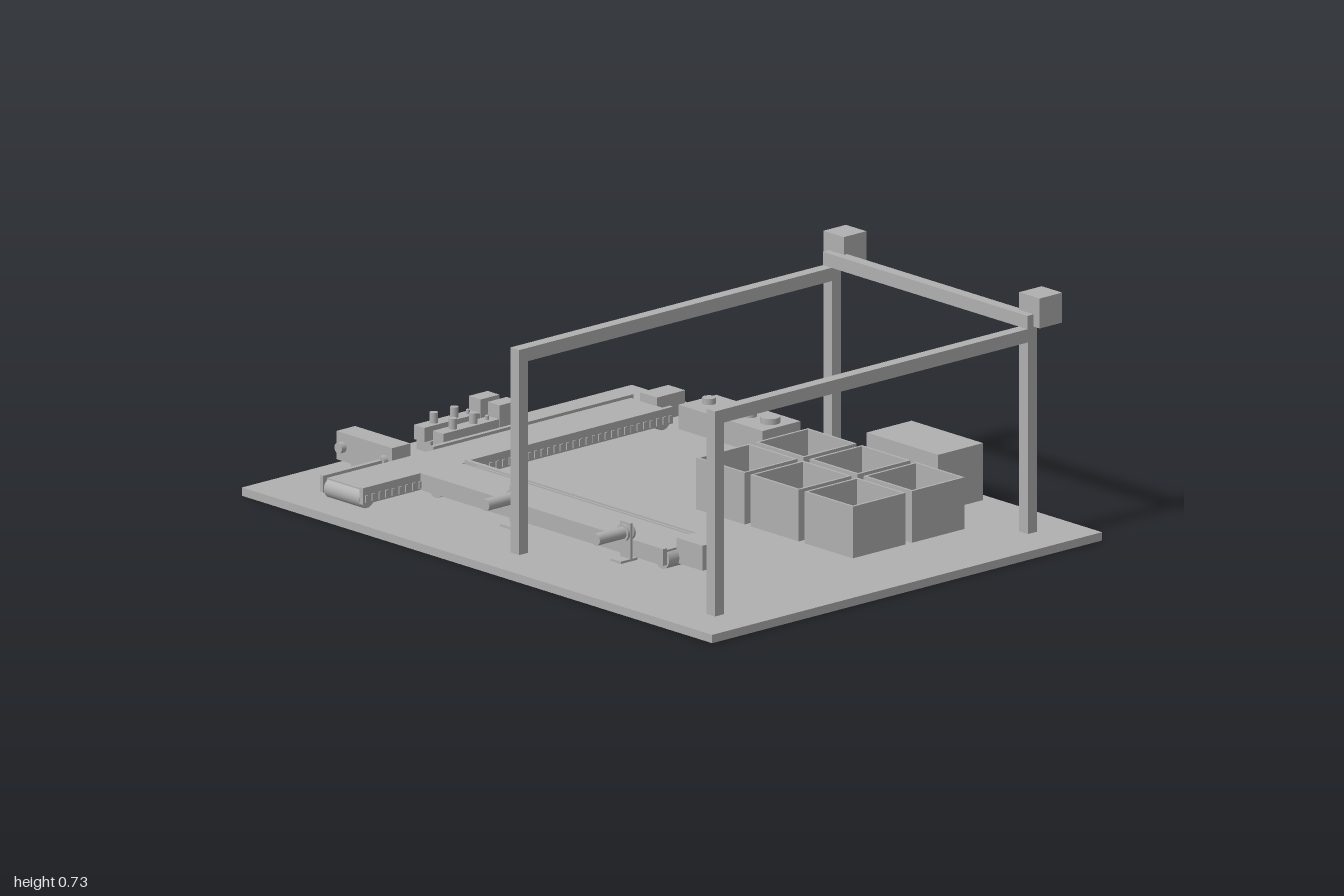
import * as THREE from 'three';

export function createModel() {
  const model = new THREE.Group();
  model.name = 'sortingStation';
  const grey = new THREE.MeshStandardMaterial({ color: 0xb0b0b0 });
  grey.name = 'plainGrey';

  const add = (name, geometry, x, y, z, parent = model) => {
    const mesh = new THREE.Mesh(geometry, grey);
    mesh.name = name;
    mesh.position.set(x, y, z);
    parent.add(mesh);
    return mesh;
  };
  // Box given by its limits on each axis
  const box = (name, x0, x1, y0, y1, z0, z1, parent) =>
    add(name, new THREE.BoxGeometry(x1 - x0, y1 - y0, z1 - z0),
      (x0 + x1) / 2, (y0 + y1) / 2, (z0 + z1) / 2, parent);
  // Cylinder along a chosen axis
  const rod = (name, axis, r, length, x, y, z, parent) => {
    const g = new THREE.CylinderGeometry(r, r, length, 24);
    if (axis === 'x') g.rotateZ(Math.PI / 2);
    if (axis === 'z') g.rotateX(Math.PI / 2);
    return add(name, g, x, y, z, parent);
  };
  const group = (name) => {
    const g = new THREE.Group();
    g.name = name;
    model.add(g);
    return g;
  };

  box('basePlate', -0.76, 0.76, 0, 0.025, -1, 1);

  // Gantry: two portal frames, a cross rail and two drive motors
  const gantry = group('gantry');
  for (const z of [0, 0.833]) {
    box('gantryPost', -0.63, -0.595, 0.025, 0.6, z, z + 0.037, gantry);
    box('gantryPost', 0.59, 0.625, 0.025, 0.64, z, z + 0.037, gantry);
    box('gantryBeam', -0.63, 0.59, 0.6, 0.64, z, z + 0.037, gantry);
    box('gantryMotor', 0.612, 0.7, 0.643, 0.733, z - 0.024, z + 0.063, gantry);
  }
  box('gantryCrossRail', 0.588, 0.624, 0.64, 0.68, 0, 0.87, gantry);

  // Six open bins
  const bins = group('bins');
  const w = 0.008;
  for (const x of [0.055, 0.285]) {
    for (const z of [0.043, 0.273, 0.503]) {
      const s = 0.206;
      box('binFloor', x, x + s, 0.025, 0.035, z, z + s, bins);
      for (const d of [0, s - w]) {
        box('binSide', x + d, x + d + w, 0.025, 0.18, z, z + s, bins);
        box('binEnd', x + w, x + s - w, 0.025, 0.18, z + d, z + d + w, bins);
      }
    }
  }

  box('controlCabinet', 0.55, 0.725, 0.025, 0.196, 0.228, 0.532);

  // Push button console
  const panel = group('buttonConsole');
  box('consoleBody', 0.56, 0.707, 0.025, 0.098, -0.583, -0.225, panel);
  for (const [z, r] of [[-0.535, 0.02], [-0.447, 0.02], [-0.36, 0.02], [-0.275, 0.029]])
    rod('pushButton', 'y', r, 0.02, 0.635, 0.106, z, panel);

  // Main conveyor along x
  const main = group('mainConveyor');
  box('mainBelt', -0.675, 0.51, 0.058, 0.096, -0.731, -0.576, main);
  for (const x of [-0.66, 0.495]) rod('mainDrum', 'z', 0.03, 0.15, x, 0.066, -0.653, main);
  // Side rails with a row of fine ribs on their outer faces
  const railX = (x0, x1, z0, side) => {
    box('mainRail', x0, x1, 0.055, 0.105, z0, z0 + 0.014, main);
    const count = Math.floor((x1 - x0) / 0.025);
    for (let i = 0; i < count; i++) {
      const x = x0 + (i + 0.5) * (x1 - x0) / count;
      const z = side > 0 ? z0 + 0.016 : z0 - 0.002;
      box('railRib', x - 0.005, x + 0.005, 0.06, 0.082, z - 0.002, z + 0.002, main);
    }
  };
  railX(-0.69, -0.46, -0.745, -1);
  railX(-0.26, 0.52, -0.745, -1);
  railX(-0.69, -0.455, -0.576, 1);
  railX(-0.28, 0.52, -0.576, 1);
  box('mainMotor', 0.508, 0.618, 0.05, 0.122, -0.69, -0.618, main);

  // Feed conveyor along z
  const feed = group('feedConveyor');
  box('feedBelt', -0.445, -0.29, 0.058, 0.096, -0.576, 0.46, feed);
  for (const z of [-0.52, 0.442]) rod('feedDrum', 'x', 0.03, 0.155, -0.367, 0.066, z, feed);
  for (const x of [-0.465, -0.284]) box('feedRail', x, x + 0.014, 0.055, 0.105, -0.562, 0.47, feed);
  for (const x of [-0.451, -0.29]) box('feedLiner', x, x + 0.006, 0.06, 0.1, -0.52, 0.46, feed);
  box('feedMotor', -0.404, -0.326, 0.05, 0.125, 0.46, 0.57, feed);

  // Barrel sensors on brackets beside the feed conveyor
  for (const z of [-0.135, 0.335]) {
    const sensor = group('barrelSensor');
    rod('sensorBarrel', 'x', 0.018, 0.13, -0.54, 0.132, z, sensor);
    for (const x of [-0.497, -0.475]) rod('sensorNut', 'x', 0.025, 0.008, x, 0.132, z, sensor);
    box('sensorBracket', -0.489, -0.481, 0.05, 0.162, z - 0.022, z + 0.022, sensor);
    box('bracketFoot', -0.527, -0.462, 0.048, 0.055, z - 0.022, z + 0.022, sensor);
  }

  // Scanner housing behind the main conveyor
  const scanner = group('scanner');
  box('scannerBody', -0.402, -0.33, 0.04, 0.125, -0.988, -0.752, scanner);
  box('scannerFoot', -0.39, -0.342, 0.025, 0.04, -0.94, -0.8, scanner);
  for (const z of [-0.962, -0.783]) rod('scannerKnob', 'x', 0.016, 0.02, -0.41, 0.082, z, scanner);

  // Twin valve units
  for (const z of [-0.915, -0.834]) {
    const valve = group('valveUnit');
    box('valveFoot', -0.13, 0.125, 0.025, 0.06, z - 0.029, z + 0.029, valve);
    box('valveBody', -0.147, 0.07, 0.06, 0.103, z - 0.022, z + 0.022, valve);
    box('valveSolenoid', 0.07, 0.143, 0.06, 0.145, z - 0.025, z + 0.025, valve);
    for (const x of [-0.09, -0.01]) rod('valvePort', 'y', 0.012, 0.033, x, 0.118, z, valve);
    rod('valvePin', 'y', 0.006, 0.015, 0.043, 0.108, z, valve);
  }
  return model;
}
